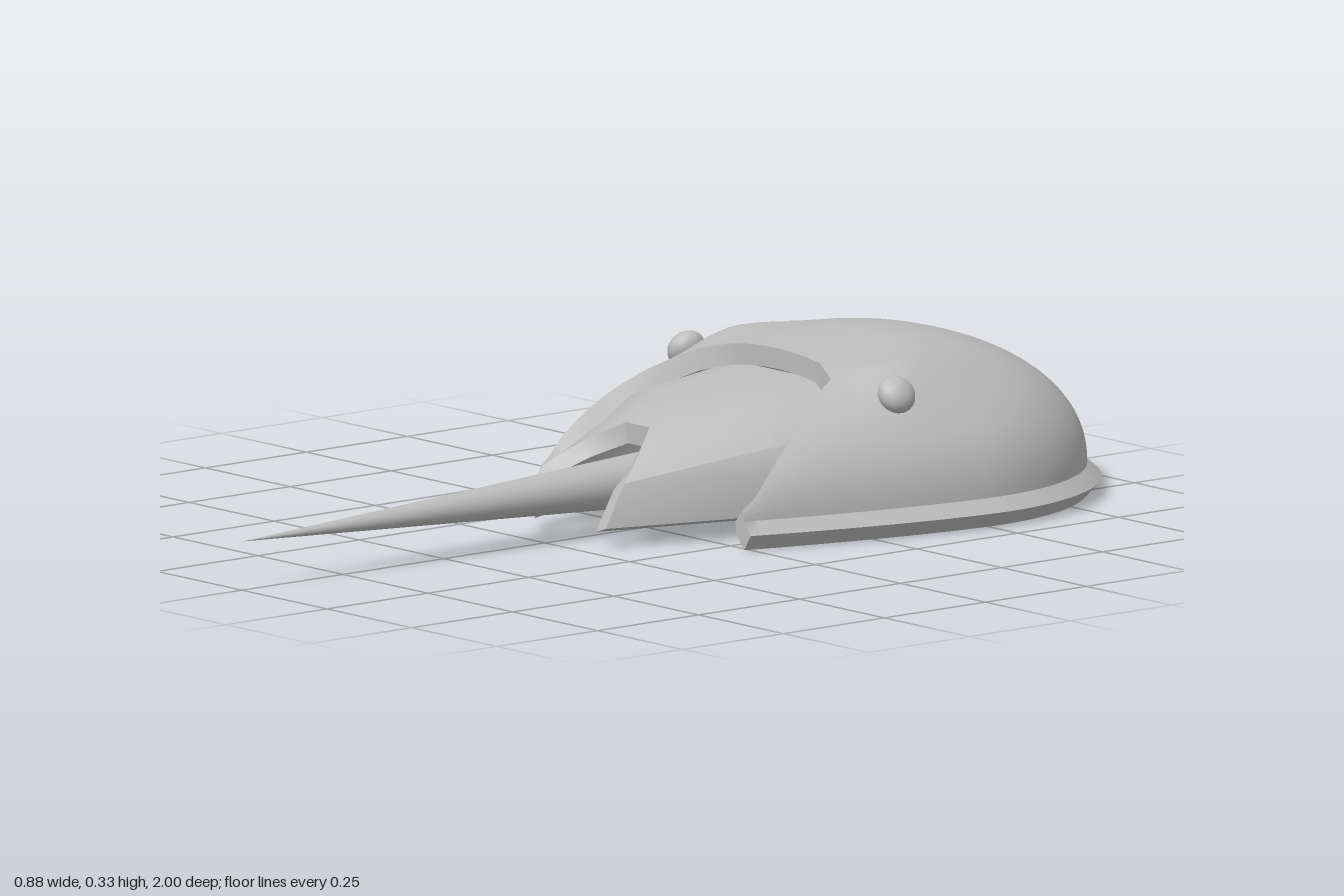
import * as THREE from 'three';
import { toCreasedNormals } from 'three/addons/utils/BufferGeometryUtils.js';

const shellGrey = new THREE.MeshStandardMaterial({ color: 0xbcbcbc });
shellGrey.name = 'shellGrey';

// Piecewise linear lookup in [key, value] pairs
function lookup(table, k) {
  for (let i = 1; i < table.length; i++) {
    const [a, va] = table[i - 1], [b, vb] = table[i];
    if (k <= b) return THREE.MathUtils.lerp(va, vb, THREE.MathUtils.clamp((k - a) / (b - a), 0, 1));
  }
  return table[table.length - 1][1];
}

// Collects polygons as triangles, skipping collapsed ones
class Surface {
  constructor() { this.positions = []; }
  face(points, flip = false) {
    const p = flip ? [...points].reverse() : points;
    const same = (a, b) => Math.hypot(a[0] - b[0], a[1] - b[1], a[2] - b[2]) < 1e-5;
    for (let i = 1; i < p.length - 1; i++) {
      if (same(p[0], p[i]) || same(p[i], p[i + 1]) || same(p[0], p[i + 1])) continue;
      this.positions.push(...p[0], ...p[i], ...p[i + 1]);
    }
  }
  mesh(name, crease) {
    const g = new THREE.BufferGeometry();
    g.setAttribute('position', new THREE.Float32BufferAttribute(this.positions, 3));
    const m = new THREE.Mesh(toCreasedNormals(g, crease), shellGrey);
    m.name = name;
    return m;
  }
}

// Domed horseshoe shell: crown heights and the arched cut by z
const ZC = -0.53, WIDTH = 0.415, BACK = 0.442, CUT_Z = -0.32;
const CROWN_COLUMNS = 8, COLUMNS = 28;
const crown = [[-0.53, 0.325], [-0.4, 0.316], [-0.32, 0.307], [-0.29, 0.304], [-0.2, 0.294], [-0.13, 0.28], [-0.04, 0.243], [0.01, 0.16]];
const cut = [[-0.32, 0.13], [-0.29, 0.2], [-0.2, 0.24], [-0.13, 0.278], [-0.04, 0.3], [0.01, 0.3]];

function shellLoop(z, side) {
  const behind = z < ZC;
  const round = behind ? Math.sqrt(Math.max(0, 1 - ((z - ZC) / BACK) ** 2)) : 1;
  const w = behind ? WIDTH * round : WIDTH - 0.115 * ((z - ZC) / 0.54) ** 1.5;
  const h = behind ? 0.055 + 0.27 * round : lookup(crown, z);
  // columns are split where the cut begins, so both regions share a seam
  const split = Math.asin(z <= CUT_Z ? 0.336 : Math.min(0.985, lookup(cut, z) / w));
  const at = (r, k, y) => [side * w * r * k, y, behind ? ZC + (z - ZC) * k : z];
  const outer = [], inner = [];
  for (let j = 0; j <= COLUMNS; j++) {
    const angle = j <= CROWN_COLUMNS
      ? split * j / CROWN_COLUMNS
      : THREE.MathUtils.lerp(split, Math.PI / 2, (j - CROWN_COLUMNS) / (COLUMNS - CROWN_COLUMNS));
    const r = j === COLUMNS ? 1 : Math.sin(angle);
    const arch = Math.pow(1 - Math.pow(r, 2.2), 1 / 2.2);
    // low shoulder ridge next to each eye
    const ridge = 0.036 * arch * Math.exp(-(((w * r - 0.265) / 0.07) ** 2) - ((z + 0.42) / 0.12) ** 2);
    outer.push(at(r, 1, 0.055 + (h - 0.055) * arch + ridge));
    inner.push(at(r, 0.925, 0.03 + Math.max(0, h - 0.07) * arch * round + ridge));
  }
  return [...outer, at(1, 1.065, 0.03), at(1, 1, 0), ...inner.reverse()];
}

function shell() {
  const zs = [];
  for (let i = 0; i <= 24; i++) zs.push(ZC - BACK * Math.cos(i / 24 * Math.PI / 2));
  zs.push(-0.5, -0.47, -0.44, -0.41, -0.38, -0.35, CUT_Z, -0.305, -0.29, -0.26, -0.23, -0.2,
    -0.165, -0.13, -0.1, -0.07, -0.04, -0.015, 0.009);
  const s = new Surface();
  for (const side of [1, -1]) {
    const flip = side < 0;
    const loops = zs.map(z => shellLoop(z, side));
    const last = loops[0].length - 1;
    const wingEnd = last - CROWN_COLUMNS;
    for (let i = 0; i < loops.length - 1; i++) {
      const a = loops[i], b = loops[i + 1], wing = zs[i] >= CUT_Z;
      const from = wing ? CROWN_COLUMNS : 0, to = wing ? wingEnd : last;
      for (let j = from; j < to; j++) s.face([a[j], b[j], b[j + 1], a[j + 1]], flip);
      // wall along the cut
      if (wing) s.face([a[to], b[to], b[from], a[from]], flip);
    }
    // wall under the crown, then the wing tip
    const c = loops[zs.indexOf(CUT_Z)];
    for (let j = 0; j < CROWN_COLUMNS; j++) s.face([c[j], c[last - j], c[last - j - 1], c[j + 1]], flip);
    s.face(loops[loops.length - 1].slice(CROWN_COLUMNS, wingEnd + 1).reverse(), flip);
  }
  return s.mesh('headShell', 0.6);
}

// Hollow arched abdomen with a notch for the tail
function abdomen() {
  const rows = [
    [[0.268, 0.05, -0.33], [0.268, 0.135, -0.33], [0.25, 0.185, -0.33], [0.215, 0.225, -0.33], [0.165, 0.25, -0.33], [0.1, 0.262, -0.33]],
    [[0.254, 0.045, -0.13], [0.254, 0.135, -0.13], [0.238, 0.175, -0.13], [0.2, 0.21, -0.13], [0.14, 0.232, -0.12], [0.08, 0.24, -0.11]],
    [[0.12, 0.038, 0.2], [0.12, 0.12, 0.155], [0.106, 0.14, 0.125], [0.085, 0.163, 0.09], [0.06, 0.182, 0.055], [0.035, 0.2, 0.02]],
  ];
  const inset = [[0.03, 0.01], [0.03, 0.016], [0.028, 0.022], [0.022, 0.028], [0.014, 0.034], [0.006, 0.04]];
  const flip = ([x, y, z]) => [-x, y, z];
  const loops = rows.map(outer => {
    const inner = outer.map(([x, y, z], j) => [x - inset[j][0], y - inset[j][1], z]);
    return [...outer.map(flip), ...[...outer].reverse(), ...inner, ...inner.map(flip).reverse()];
  });
  const s = new Surface(), n = loops[0].length;
  for (let i = 0; i < 2; i++) {
    for (let j = 0; j < n; j++) {
      const k = (j + 1) % n;
      s.face([loops[i][j], loops[i + 1][j], loops[i + 1][k], loops[i][k]]);
    }
  }
  for (const [l, back] of [[loops[0], true], [loops[2], false]]) {
    for (let j = 0; j < n / 2 - 1; j++) s.face([l[j], l[n - 1 - j], l[n - 2 - j], l[j + 1]], back);
  }
  return s.mesh('abdomen', 0.5);
}

export function createModel() {
  const model = new THREE.Group();
  model.name = 'horseshoeCrab';
  model.add(shell(), abdomen());

  // Long spike tail
  const tail = new THREE.Mesh(new THREE.ConeGeometry(0.055, 1.04, 32), shellGrey);
  tail.name = 'tailSpike';
  tail.rotation.x = Math.PI / 2;
  tail.position.set(0, 0.094, 0.48);
  model.add(tail);

  // Eyes lying flat against the sloping shoulders
  for (const side of [1, -1]) {
    const eye = new THREE.Mesh(new THREE.SphereGeometry(0.038, 20, 14), shellGrey);
    eye.name = side > 0 ? 'leftEye' : 'rightEye';
    eye.scale.set(0.75, 1, 1);
    eye.rotation.z = side * 0.65;
    eye.position.set(side * 0.31, 0.257, -0.36);
    model.add(eye);
  }
  return model;
}
